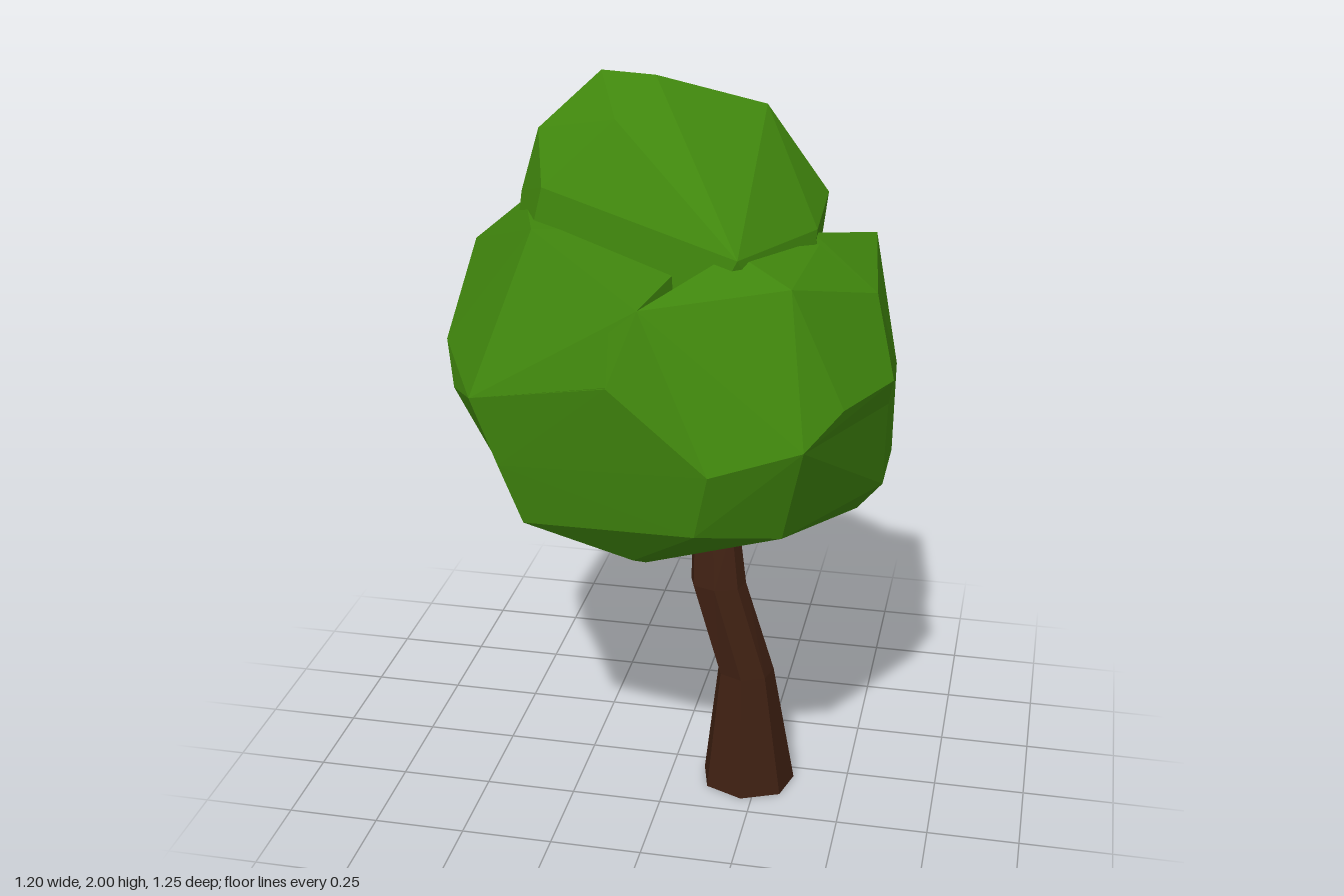
import * as THREE from 'three';
import { ConvexGeometry } from 'three/addons/geometries/ConvexGeometry.js';

const leafMaterial = new THREE.MeshStandardMaterial({ color: 0x40860d, flatShading: true });
const barkMaterial = new THREE.MeshStandardMaterial({ color: 0x3e2012, flatShading: true });

// A faceted clump of leaves: the hull around a few corner points
function clump(name, corners) {
  const points = corners.map(([x, y, z]) => new THREE.Vector3(x, y, z));
  const mesh = new THREE.Mesh(new ConvexGeometry(points), leafMaterial);
  mesh.name = name;
  return mesh;
}

// Bent, tapering trunk: a cylinder whose rings are moved onto cross-sections
function trunk() {
  // height, centre x, centre z, half width, half depth
  const rings = [
    [0, 0.22, 0.072, 0.133, 0.118],
    [0.35, 0.208, 0.066, 0.08, 0.071],
    [0.61, 0.126, 0.058, 0.079, 0.055],
    [0.78, 0.112, 0.028, 0.066, 0.045],
    [0.95, 0.08, 0.02, 0.05, 0.04],
  ];
  const geometry = new THREE.CylinderGeometry(1, 1, rings.length - 1, 7, rings.length - 1);
  const p = geometry.attributes.position;
  for (let i = 0; i < p.count; i++) {
    const [y, cx, cz, w, d] = rings[Math.round(p.getY(i) + (rings.length - 1) / 2)];
    p.setXYZ(i, cx + p.getX(i) * w, y, cz + p.getZ(i) * d);
  }
  geometry.computeVertexNormals();
  const mesh = new THREE.Mesh(geometry, barkMaterial);
  mesh.name = 'trunk';
  return mesh;
}

export function createModel() {
  const tree = new THREE.Group();
  tree.name = 'tree';
  const foliage = new THREE.Group();
  foliage.name = 'foliage';

  foliage.add(
    // Tall clump at the top
    clump('topClump', [
      [-0.21, 2, -0.05], [-0.06, 2, -0.02], [-0.22, 1.93, -0.26], [0.21, 1.91, -0.14],
      [0.21, 1.77, -0.03], [0.37, 1.67, -0.19], [0.37, 1.63, 0.02], [-0.36, 1.86, 0.03],
      [-0.14, 1.91, 0.1], [-0.36, 1.74, -0.3], [-0.41, 1.69, 0.03], [-0.32, 1.74, 0.16],
      [0.22, 1.64, 0.35], [-0.41, 1.3, -0.5], [-0.2, 1.27, -0.57], [0.1, 1.5, -0.45],
      [0.28, 1.5, -0.4], [0.36, 1.3, 0.2], [-0.42, 1.3, 0.2], [0, 1.2, 0.35],
    ]),
    // Broad clump on the right side
    clump('rightClump', [
      [-0.59, 1.5, -0.13], [-0.4, 1.67, 0.03], [-0.33, 1.65, 0.23], [-0.6, 1.3, 0.13],
      [-0.6, 1.15, 0.02], [-0.54, 1.22, 0.27], [-0.45, 1.26, 0.43], [-0.06, 1.37, 0.56],
      [0.01, 1.56, 0.53], [-0.43, 1.35, -0.4], [-0.52, 1.0, 0.08], [-0.5, 1.05, -0.25],
      [-0.38, 1.08, 0.42], [0.1, 1.1, 0.4], [0.1, 1.2, -0.4], [0.1, 1.6, 0],
    ]),
    // Block that juts out at the front
    clump('frontClump', [
      [0.01, 1.56, 0.53], [0.36, 1.59, 0.39], [0.2, 1.64, 0.28], [-0.06, 1.5, 0.53],
      [-0.06, 1.37, 0.57], [0.2, 1.18, 0.62], [0.42, 1.23, 0.54], [0.6, 1.31, 0.22],
      [0.54, 1.5, 0.11], [0.5, 1.3, 0.42], [0.38, 1.6, 0.05], [0, 1.2, 0.3], [0.1, 1.1, 0],
      [0.56, 1.09, 0.14],
    ]),
    // Clump on the left side, reaching towards the back
    clump('leftClump', [
      [0.49, 1.53, -0.31], [0.54, 1.5, 0.11], [0.57, 1.2, -0.19], [0.53, 1.16, -0.33],
      [0.57, 1.09, 0.14], [0.57, 0.96, -0.15], [0.5, 0.86, 0], [0.43, 1.0, -0.38],
      [0.36, 1.62, 0.02], [0.1, 1.4, -0.3], [0.1, 1, 0.1], [0.3, 1.42, -0.46],
      [0.17, 1.19, -0.6],
    ]),
    // Clump at the back
    clump('backClump', [
      [0.17, 1.19, -0.63], [-0.1, 1.2, -0.61], [-0.35, 1.2, -0.57], [0.12, 1.5, -0.5],
      [0.3, 1.4, -0.51], [0.05, 1.4, -0.56], [-0.22, 1.35, -0.56], [0.38, 1.15, -0.44],
      [0.1, 0.9, -0.5], [-0.25, 0.96, -0.48], [0, 1.45, -0.2], [0.2, 0.9, -0.2],
      [-0.3, 1, -0.2], [0.47, 1.45, -0.32],
    ]),
    // Rounded underside
    clump('lowerClump', [
      [-0.03, 0.76, 0.27], [-0.27, 0.78, 0.18], [-0.2, 0.78, -0.08], [0.2, 0.77, -0.2],
      [0.18, 0.78, 0.16], [-0.03, 0.84, 0.42], [0.5, 0.86, 0.03], [0.57, 0.96, 0.08],
      [0.57, 0.96, -0.15], [0.36, 0.96, 0.46], [0.16, 1.0, 0.58], [-0.32, 0.92, 0.42],
      [-0.38, 1.08, 0.43], [-0.52, 1.0, 0.08], [-0.49, 1.05, -0.25], [-0.15, 0.8, -0.33],
      [0.08, 0.8, -0.38], [0.36, 0.9, -0.36], [0.1, 0.9, -0.5], [-0.25, 0.98, -0.48],
      [-0.35, 1.15, -0.55], [0.17, 1.17, -0.61], [0.46, 1.12, -0.38], [0.2, 1.18, 0.62],
      [0.42, 1.23, 0.54], [-0.45, 1.26, 0.43], [-0.06, 1.37, 0.57], [0.59, 1.3, 0.22],
    ]),
  );

  tree.add(trunk(), foliage);
  return tree;
}
